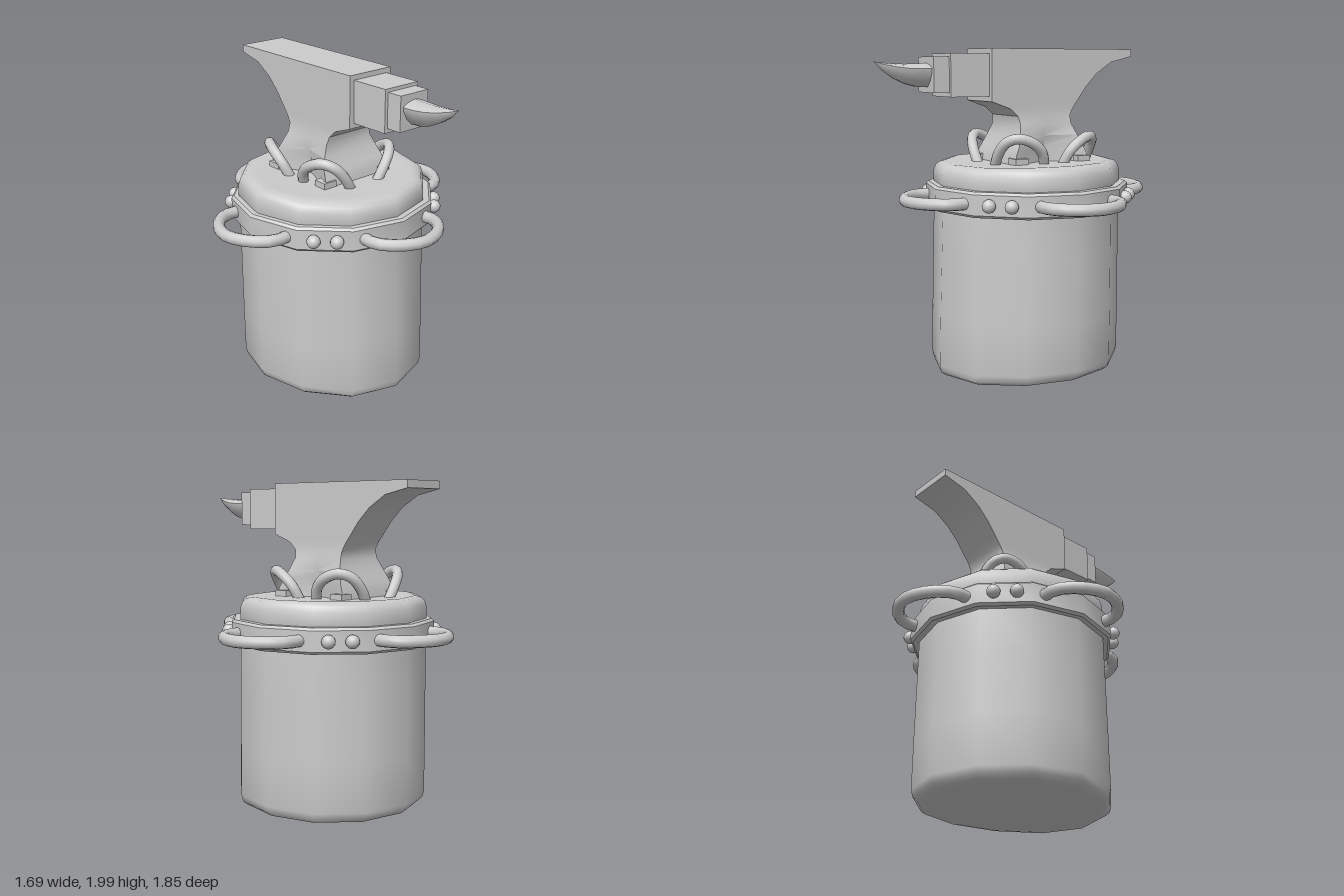
import * as THREE from 'three';
import { toCreasedNormals } from 'three/addons/utils/BufferGeometryUtils.js';

const material = new THREE.MeshStandardMaterial({ color: 0xcccccc });
const AXIS_Z = -0.075; // centre line of the pot
const ANVIL_Z = -0.11; // centre line of the anvil

function add(parent, name, geometry, x = 0, y = 0, z = 0) {
  const mesh = new THREE.Mesh(geometry, material);
  mesh.name = name;
  mesh.position.set(x, y, z);
  parent.add(mesh);
  return mesh;
}

// Twelve-sided turned shape from [radius, height] pairs, bottom to top
function turned(profile) {
  return new THREE.LatheGeometry(profile.map(([r, y]) => new THREE.Vector2(r, y)), 12);
}

// Skin over equal-length rings of [x, y, z], with fan caps at both ends
function loft(rings, crease) {
  const n = rings[0].length;
  const positions = rings.flat(2);
  const index = [];
  for (let i = 0; i < rings.length - 1; i++) {
    for (let j = 0; j < n; j++) {
      const a = i * n + j, b = i * n + (j + 1) % n;
      index.push(a, b, b + n, a, b + n, a + n);
    }
  }
  for (const [row, flip] of [[0, true], [rings.length - 1, false]]) {
    const centre = positions.length / 3;
    for (let k = 0; k < 3; k++) {
      positions.push(rings[row].reduce((sum, p) => sum + p[k], 0) / n);
    }
    for (let j = 0; j < n; j++) {
      const a = row * n + j, b = row * n + (j + 1) % n;
      index.push(centre, flip ? b : a, flip ? a : b);
    }
  }
  const geometry = new THREE.BufferGeometry();
  geometry.setAttribute('position', new THREE.Float32BufferAttribute(positions, 3));
  geometry.setIndex(index);
  return toCreasedNormals(geometry, crease);
}

function tube(points, radius, segments) {
  const curve = new THREE.CatmullRomCurve3(points.map((p) => new THREE.Vector3(...p)));
  return new THREE.TubeGeometry(curve, segments, radius, 10);
}

function buildPot(group) {
  // Pot body, its front pulled forward and down near the floor
  const body = turned([[0, 0.04], [0.5, 0.04], [0.545, 0.048], [0.572, 0.07], [0.582, 0.11],
    [0.582, 0.4], [0.58, 0.8], [0.578, 1.1]]);
  const p = body.attributes.position;
  for (let i = 0; i < p.count; i++) {
    const front = Math.max(0, p.getZ(i) / 0.58) ** 2;
    const low = Math.max(0, 1 - p.getY(i) / 1.1);
    p.setZ(i, p.getZ(i) + 0.035 * front * low);
    p.setY(i, p.getY(i) - 0.042 * front * low ** 4);
  }
  add(group, 'potBody', toCreasedNormals(body, 0.8), -0.005, 0, AXIS_Z);

  // Collar around the rim
  add(group, 'collar', toCreasedNormals(turned([[0.56, 1.04], [0.615, 1.04], [0.63, 1.055],
    [0.63, 1.175], [0.615, 1.19], [0.54, 1.19]]), 0.6), 0, 0, AXIS_Z);

  // Domed-edge lid, dipping slightly at the front
  const lid = turned([[0.57, 1.15], [0.582, 1.2], [0.58, 1.265], [0.567, 1.3], [0.545, 1.318],
    [0.51, 1.326], [0.46, 1.322], [0, 1.32]]);
  const q = lid.attributes.position;
  for (let i = 0; i < q.count; i++) {
    if (q.getY(i) > 1.25) q.setY(i, q.getY(i) - 0.015 * Math.max(0, q.getZ(i) / 0.58) ** 2);
  }
  add(group, 'lid', toCreasedNormals(lid, 0.8), -0.005, 0, AXIS_Z);

  // Four loop handles and four pairs of rivets around the collar
  const loop = [[-0.235, 0, 0.48], [-0.24, 0, 0.65], [-0.145, 0, 0.76], [0, 0, 0.812],
    [0.145, 0, 0.76], [0.24, 0, 0.65], [0.235, 0, 0.48]];
  const handle = tube(loop, 0.036, 14);
  const rivet = new THREE.SphereGeometry(0.04, 16, 12);
  for (let i = 0; i < 4; i++) {
    const side = new THREE.Group();
    side.name = 'collarSide';
    side.position.set(0, 1.115, AXIS_Z);
    side.rotation.y = i * Math.PI / 2;
    add(side, 'loopHandle', handle);
    add(side, 'rivet', rivet, 0.4, 0, 0.49);
    add(side, 'rivet', rivet, 0.495, 0, 0.395);
    group.add(side);
  }
}

function buildAnvil(group) {
  // Rows: height, front z, back z, half width at the corners, half width at mid side
  const rows = [
    [1.3, 0.15, -0.37, 0.25, 0.14],
    [1.37, 0.14, -0.36, 0.24, 0.14],
    [1.42, 0.115, -0.34, 0.23, 0.145],
    [1.48, 0.09, -0.315, 0.205, 0.16],
    [1.55, 0.07, -0.29, 0.172, 0.165],
    [1.6, 0.08, -0.29, 0.158, 0.158],
    [1.645, 0.13, -0.315, 0.156, 0.156],
    [1.69, 0.255, -0.35, 0.156, 0.156],
    [1.77, 0.255, -0.41, 0.156, 0.156],
    [1.85, 0.255, -0.49, 0.156, 0.156],
    [1.92, 0.255, -0.6, 0.156, 0.156],
    [1.955, 0.255, -0.755, 0.156, 0.156],
    [2, 0.255, -0.755, 0.156, 0.156],
  ];
  add(group, 'anvilBody', loft(rows.map(([y, f, b, w, m]) => [
    [-w, y, f], [w, y, f], [m, y, ANVIL_Z], [w, y, b], [-w, y, b], [-m, y, ANVIL_Z],
  ]), 0.6));

  // Stepped blocks between body and horn
  add(group, 'hornBlock', new THREE.BoxGeometry(0.25, 0.25, 0.26), 0, 1.845, 0.377);
  add(group, 'hornCollar', new THREE.BoxGeometry(0.21, 0.205, 0.11), 0, 1.848, 0.55);

  // Horn: z, half width, bottom, top, with a rounded triangular section
  const sections = [[0.59, 0.086, 1.778, 1.915], [0.67, 0.083, 1.78, 1.912],
    [0.74, 0.07, 1.797, 1.91], [0.81, 0.052, 1.83, 1.912],
    [0.875, 0.027, 1.873, 1.917], [0.925, 0.001, 1.921, 1.923]];
  const outline = [[0.25, 0], [0.65, 0.25], [0.95, 0.6], [1, 0.78], [0.6, 0.92], [0, 1]];
  const ring = [...outline, ...outline.slice(0, 5).reverse().map(([u, v]) => [-u, v])];
  add(group, 'horn', loft(sections.map(([z, w, lo, hi]) =>
    ring.map(([u, v]) => [u * w, lo + v * (hi - lo), z])), 0.9));

  // Feet, and the hoops that tie them to the lid
  const foot = new THREE.BoxGeometry(0.09, 0.06, 0.09);
  const hoopPath = [[0.25, 1.29, 0.06], [0.285, 1.39, 0.1], [0.292, 1.45, 0.17],
    [0.265, 1.475, 0.25], [0.215, 1.45, 0.305], [0.155, 1.38, 0.325], [0.1, 1.29, 0.32]];
  for (const sx of [1, -1]) {
    for (const sz of [1, -1]) {
      add(group, 'foot', foot, sx * 0.215, 1.325, ANVIL_Z + sz * 0.22);
      const path = hoopPath.map(([x, y, z]) => [sx * x, y, ANVIL_Z + sz * z]);
      add(group, 'hoop', tube(path, 0.032, 20));
    }
  }
}

export function createModel() {
  const model = new THREE.Group();
  model.name = 'anvilOnPot';
  for (const [name, build] of [['pot', buildPot], ['anvil', buildAnvil]]) {
    const part = new THREE.Group();
    part.name = name;
    build(part);
    model.add(part);
  }
  return model;
}
